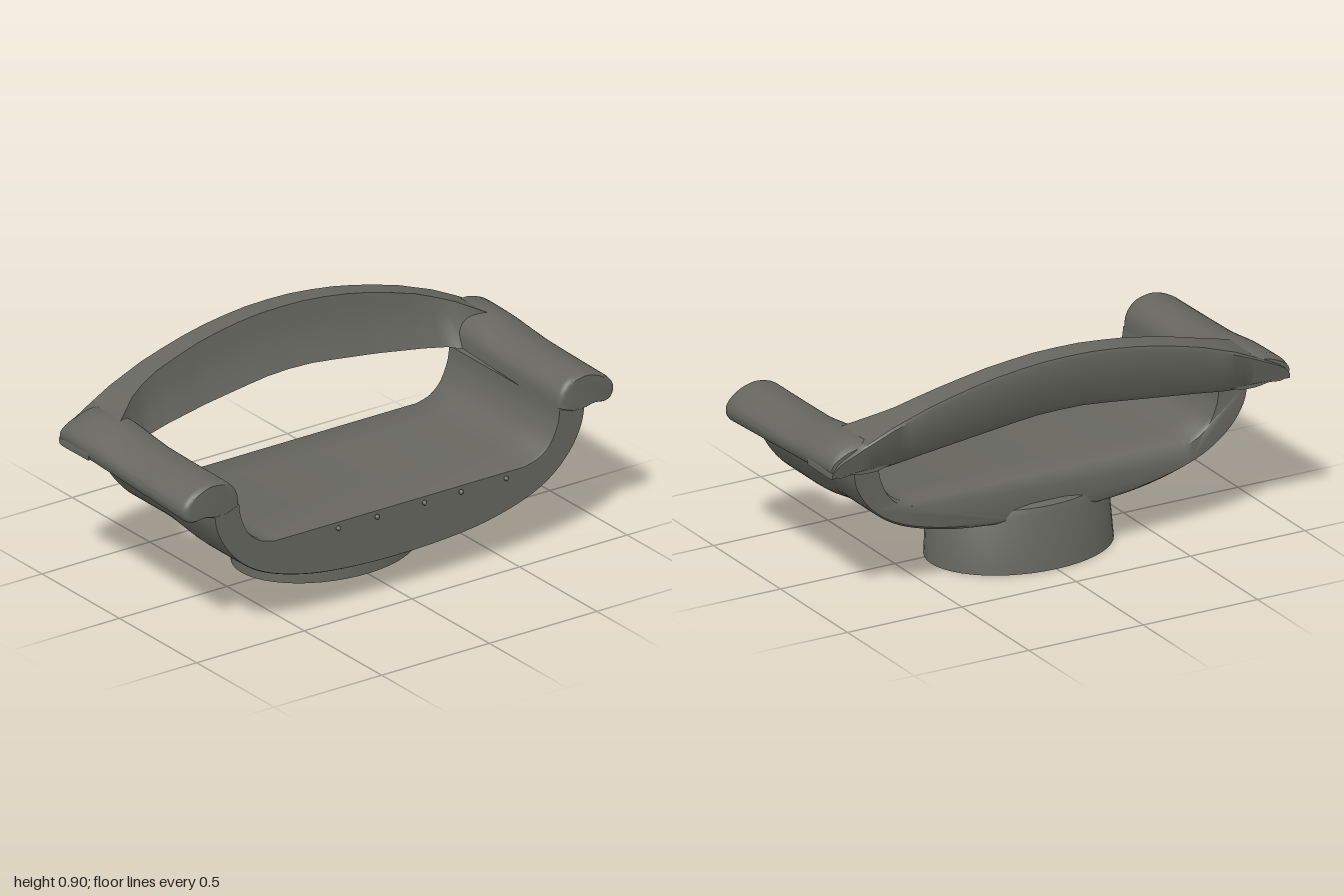
import * as THREE from 'three';
import { toCreasedNormals } from 'three/addons/utils/BufferGeometryUtils.js';

const V3 = (x, y, z) => new THREE.Vector3(x, y, z);
const { lerp, smoothstep } = THREE.MathUtils;

// Linear lookup in a small [key, value] table
function lookup(table, u) {
  for (let i = 1; i < table.length; i++) {
    const [a, va] = table[i - 1], [b, vb] = table[i];
    if (u <= b) return lerp(va, vb, (u - a) / (b - a));
  }
  return table[table.length - 1][1];
}

// Smooth 2D curve through a few points
const spline = (pts, n) =>
  new THREE.SplineCurve(pts.map(([x, y]) => new THREE.Vector2(x, y))).getPoints(n);

// Solid through closed rings that ascend along the given axis
function loft(rings, axis, crease = 0.8) {
  const flat = r => r.map(p => new THREE.Vector2(axis === 'x' ? -p.z : p.x, p.y));
  if (THREE.ShapeUtils.isClockWise(flat(rings[0]))) rings = rings.map(r => [...r].reverse());
  const n = rings[0].length, last = (rings.length - 1) * n, index = [];
  for (let i = 0; i < rings.length - 1; i++) {
    for (let j = 0; j < n; j++) {
      const a = i * n + j, b = i * n + (j + 1) % n;
      index.push(a, b, b + n, a, b + n, a + n);
    }
  }
  for (const [a, b, c] of THREE.ShapeUtils.triangulateShape(flat(rings[0]), [])) index.push(a, c, b);
  for (const [a, b, c] of THREE.ShapeUtils.triangulateShape(flat(rings[rings.length - 1]), []))
    index.push(last + a, last + b, last + c);
  const g = new THREE.BufferGeometry().setFromPoints(rings.flat());
  g.setIndex(index);
  return toCreasedNormals(g, crease);
}

// Bowl-shaped seat: U profile swept from back to front
function seatGeometry() {
  const half = [[0.86, 0.56], [0.845, 0.47], [0.79, 0.37], [0.7, 0.285], [0.58, 0.225], [0.4, 0.178], [0.2, 0.156]];
  const outer = spline([...half, [0, 0.15], ...half.map(([x, y]) => [-x, y]).reverse()], 56);
  const innerHalf = spline([[0.745, 0.56], [0.735, 0.5], [0.7, 0.43], [0.645, 0.388], [0.58, 0.37]], 14);
  const inner = [...innerHalf.map(p => new THREE.Vector2(-p.x, p.y)), ...innerHalf.reverse()];
  const zs = [-0.295, -0.28, -0.15, -0.05, 0, 0.05, 0.1, 0.15, 0.2, 0.41, 0.42];
  return loft(zs.map((z, i) => {
    const lift = 0.045 * (1 - smoothstep(z, -0.05, 0.2));
    const edge = i === 0 ? 0.015 : i === zs.length - 1 ? 0.006 : 0;
    return [
      ...outer.map(p => {
        const w = (0.56 - p.y) / 0.41;
        return V3(p.x, p.y + (lift + edge) * w, i === 0 ? z - 0.015 * (1 - w) : z);
      }),
      ...inner.map(p => V3(p.x, p.y - edge * (0.56 - p.y) / 0.19, z)),
    ];
  }), 'z');
}

// Rounded armrest roll that rises into the backrest
function armGeometry(side) {
  const section = spline([[0.742, 0.55], [0.75, 0.61], [0.785, 0.655], [0.83, 0.672], [0.88, 0.675], [0.94, 0.655],
    [0.985, 0.62], [1, 0.585], [0.99, 0.55], [0.96, 0.535], [0.91, 0.54], [0.86, 0.53], [0.8, 0.53]], 40);
  const zs = [-0.385, -0.36, -0.27, -0.2, -0.15, -0.1, 0, 0.15, 0.395, 0.415, 0.423];
  return loft(zs.map((z, i) => {
    const k = [0.8, 1, 1, 1, 1, 1, 1, 1, 1, 0.97, 0.88][i];
    return section.map(p => {
      const top = smoothstep(p.y, 0.57, 0.675);
      const y = p.y + top * 0.03 * (1 - smoothstep(z, -0.24, 0.05)) + (1 - top) * 0.035 * (0.42 - z) / 0.72;
      return V3(side * (i === 0 || k === 1 ? p.x : lerp(0.87, p.x, k)), lerp(0.6, y, k), z);
    });
  }), 'z');
}

// Arched, backward-leaning backrest with pointed ends
function backrestGeometry() {
  const top = [[0, 0.9], [0.1, 0.898], [0.2, 0.889], [0.3, 0.876], [0.4, 0.857], [0.5, 0.833], [0.6, 0.806], [0.75, 0.752],
    [0.85, 0.705], [0.95, 0.653], [0.985, 0.63], [1, 0.605]];
  const bottom = [[0, 0.65], [0.1, 0.648], [0.2, 0.637], [0.4, 0.612], [0.6, 0.588], [0.74, 0.57], [1, 0.578]];
  const frontTop = [[0, -0.345], [0.2, -0.343], [0.4, -0.334], [0.6, -0.313], [0.68, -0.295], [0.75, -0.265], [0.85, -0.2], [1, -0.2]];
  const frontBottom = [[0, -0.29], [0.4, -0.28], [0.6, -0.26], [0.7, -0.242], [0.745, -0.2], [1, -0.2]];
  const back = y => -0.39 - 0.053 * (y - 0.6) / 0.3;
  const rings = [];
  for (let i = -40; i <= 40; i++) {
    const x = i / 40, u = Math.abs(x);
    const t = lookup(top, u), b = lookup(bottom, u), h = t - b;
    const ft = lookup(frontTop, u), fb = lookup(frontBottom, u);
    rings.push([
      V3(x, b + 0.05 * h, fb),
      V3(x, b + h * 0.35, lerp(fb, ft, 0.5)),
      V3(x, b + h * 0.7, lerp(fb, ft, 0.85)),
      V3(x, t, ft),
      V3(x, t - 0.004, back(t) + 0.006),
      V3(x, t - 0.08 * h, back(t)),
      V3(x, b + 0.15 * h, back(b + 0.15 * h)),
      V3(x, b + 0.04 * h, back(b) + 0.015),
      V3(x, b, back(b) + 0.04),
    ]);
  }
  return loft(rings, 'x', 0.7);
}

// Oval hollow foot, slanted at the back
function footGeometry() {
  const profile = [[0, 0.17], [0.9, 0.17], [0.93, 0], [1, 0], [0.96, 0.225], [0.93, 0.25], [0.86, 0.262], [0, 0.262]];
  const g = new THREE.LatheGeometry(profile.map(([r, y]) => new THREE.Vector2(r, y)), 48);
  g.scale(0.382, 1, 0.285);
  const p = g.attributes.position;
  for (let i = 0; i < p.count; i++) p.setZ(i, p.getZ(i) - 0.07 + 0.05 * p.getY(i));
  return toCreasedNormals(g, 0.6);
}

export function createModel() {
  const model = new THREE.Group();
  const grey = new THREE.MeshStandardMaterial({ color: 0x66665f });
  grey.name = 'warm dark grey';
  const add = (name, geometry) => {
    const mesh = new THREE.Mesh(geometry, grey);
    mesh.name = name;
    model.add(mesh);
    return mesh;
  };

  add('seat', seatGeometry());
  add('leftArmrest', armGeometry(1));
  add('rightArmrest', armGeometry(-1));
  add('backrest', backrestGeometry());
  add('foot', footGeometry());

  // Tiny studs along the front edge of the seat
  for (const x of [-0.29, -0.11, 0.11, 0.28, 0.49]) {
    add('frontStud', new THREE.SphereGeometry(0.01, 8, 6)).position.set(x, 0.343, 0.429);
  }
  return model;
}
